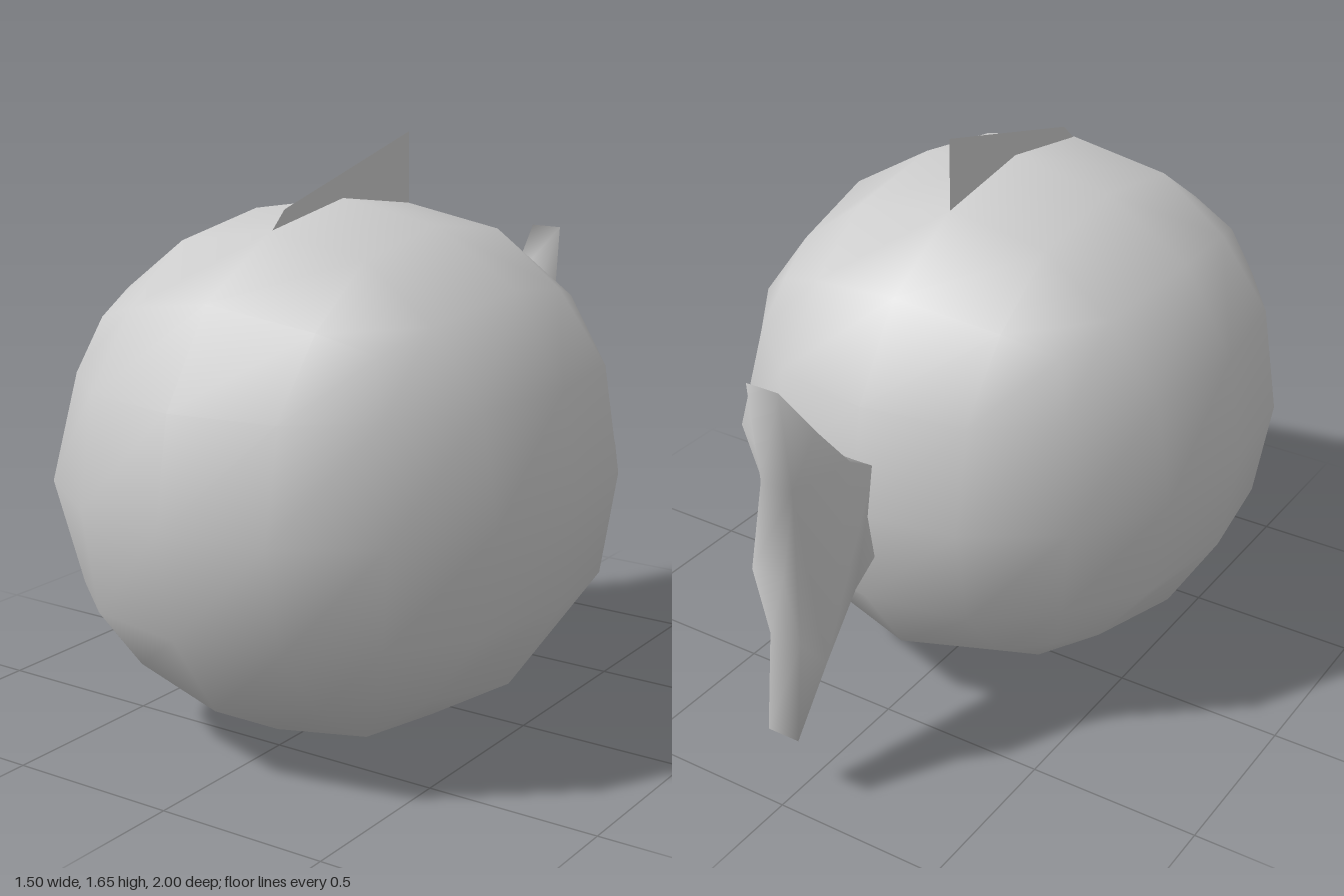
import * as THREE from 'three';
import { mergeVertices } from 'three/addons/utils/BufferGeometryUtils.js';

const grey = new THREE.MeshStandardMaterial({ color: 0xcccccc });
const greyThin = new THREE.MeshStandardMaterial({ color: 0xcccccc, side: THREE.DoubleSide });

// Weld shared corners so the normals run smoothly over the whole part
function smooth(geometry) {
  geometry.deleteAttribute('uv');
  geometry.deleteAttribute('normal');
  const welded = mergeVertices(geometry, 1e-4);
  welded.computeVertexNormals();
  return welded;
}

// Outline given as [z, y] pairs
const outline = (points) => new THREE.Shape(points.map(([z, y]) => new THREE.Vector2(z, y)));

function part(name, geometry, material) {
  const mesh = new THREE.Mesh(geometry, material);
  mesh.name = name;
  return mesh;
}

// Round body: a 4 x 4 x 4 cube grid puffed out into a low-poly ball
function bodyGeometry() {
  // distance from the centre for grid steps 0, 1, 2, by kind of grid point
  const puff = {
    '002': [0, 0, 0.75],
    '012': [0, 0.3, 0.7],
    '022': [0, 0, 0.55],
    '112': [0, 0.3, 0.65],
    '122': [0, 0.3, 0.5],
    '222': [0, 0, 0.45],
  };
  const geometry = new THREE.BoxGeometry(4, 4, 4, 4, 4, 4);
  const pos = geometry.attributes.position;
  for (let i = 0; i < pos.count; i++) {
    const p = [pos.getX(i), pos.getY(i), pos.getZ(i)].map(Math.round);
    const row = puff[p.map(Math.abs).sort().join('')];
    const [x, y, z] = p.map((v) => Math.sign(v) * row[Math.abs(v)]);
    pos.setXYZ(i, x, y + 0.75, z * 1.097 + 0.177);
  }
  return smooth(geometry);
}

// Forked tail: upper half outline mirrored about y = 0.75, given thickness
function tailGeometry() {
  const upper = [[-0.6, 0.89], [-0.7, 0.95], [-0.84, 1.11], [-0.977, 1.28], [-0.945, 0.985]];
  const lower = upper.map(([z, y]) => [z, 1.505 - y]).reverse();
  const shape = outline([...upper, [-1, 0.753], ...lower]);
  const geometry = new THREE.ExtrudeGeometry(shape, { depth: 0.1, bevelEnabled: false });
  geometry.rotateY(-Math.PI / 2).translate(0.05, 0, 0);
  return smooth(geometry);
}

// Flat back fin, its foot sunk into the body
function finGeometry() {
  const shape = outline([[0.5, 1.45], [0.445, 1.5], [-0.155, 1.655], [-0.155, 1.45]]);
  return new THREE.ShapeGeometry(shape).rotateY(-Math.PI / 2);
}

export function createModel() {
  const model = new THREE.Group();
  model.name = 'roundFish';
  model.add(
    part('body', bodyGeometry(), grey),
    part('tail', tailGeometry(), grey),
    part('backFin', finGeometry(), greyThin),
  );
  return model;
}
